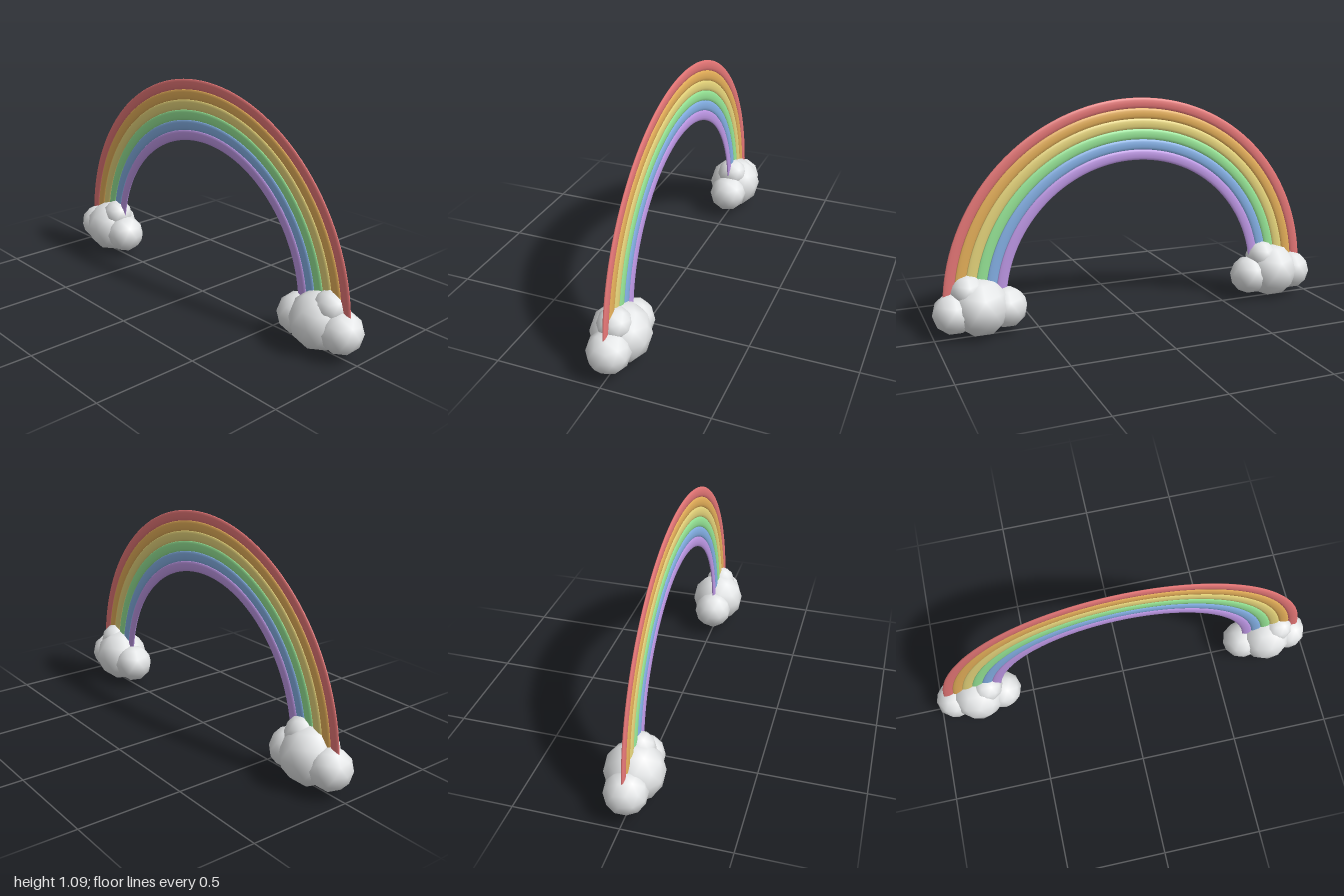
import * as THREE from 'three';

const material = (name, color) => {
  const m = new THREE.MeshStandardMaterial({ color });
  m.name = name;
  return m;
};

// Low-poly puff with smooth normals, standing on one of its corners
function puffGeometry(radius) {
  return new THREE.IcosahedronGeometry(radius, 1)
    .rotateX(-Math.atan((1 + Math.sqrt(5)) / 2))
    .rotateY(Math.PI);
}

function createCloud(name, x, mat) {
  const cloud = new THREE.Group();
  cloud.name = name;
  // name, x offset, height, radius
  const puffs = [
    ['middlePuff', 0, 0.14, 0.14],
    ['rightPuff', -0.125, 0.125, 0.1],
    ['leftPuff', 0.125, 0.125, 0.1],
    ['topPuff', 0.058, 0.222, 0.08],
  ];
  for (const [puffName, px, py, r] of puffs) {
    const puff = new THREE.Mesh(puffGeometry(r), mat);
    puff.name = puffName;
    puff.position.set(px, py, 0);
    cloud.add(puff);
  }
  cloud.position.x = x;
  return cloud;
}

export function createModel() {
  const model = new THREE.Group();
  model.name = 'rainbowWithClouds';

  // Six flattened half rings, outermost first
  const bands = new THREE.Group();
  bands.name = 'rainbow';
  const colors = [
    ['red', 0xf07c7c],
    ['orange', 0xf0b85e],
    ['yellow', 0xf5e384],
    ['green', 0x9aeb9a],
    ['blue', 0x8cbaf2],
    ['purple', 0xcba2f5],
  ];
  colors.forEach(([name, color], i) => {
    const geo = new THREE.TorusGeometry(0.93 - i * 0.05, 0.0255, 12, 64, Math.PI);
    geo.scale(1, 1, 0.3);
    const band = new THREE.Mesh(geo, material(name, color));
    band.name = name + 'Band';
    bands.add(band);
  });
  bands.position.y = 0.13;
  model.add(bands);

  // Matching clouds at both feet
  const white = material('cloudWhite', 0xf2f4f5);
  model.add(createCloud('rightCloud', -0.78, white));
  model.add(createCloud('leftCloud', 0.78, white));
  return model;
}
